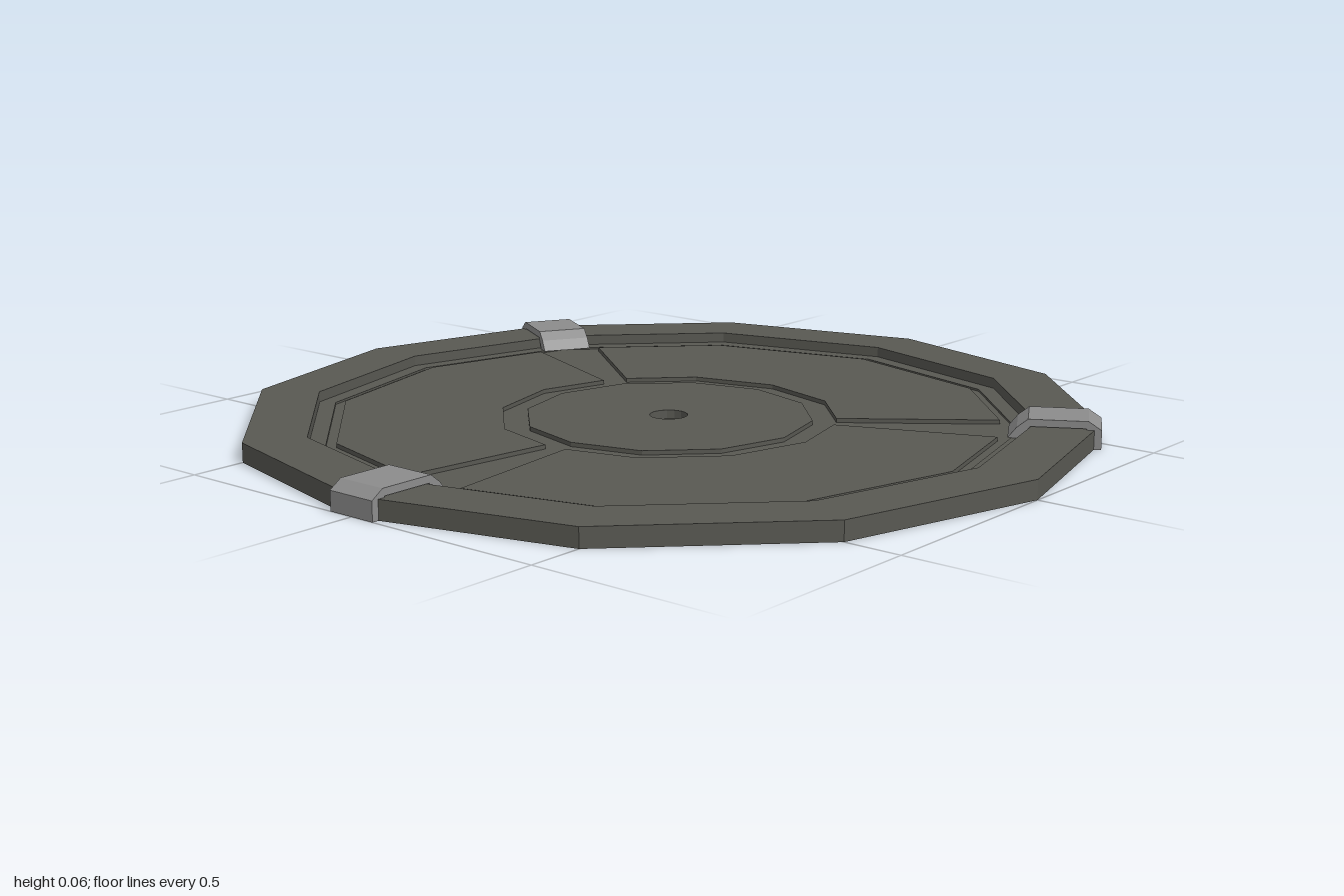
import * as THREE from 'three';

const discMat = new THREE.MeshStandardMaterial({ color: 0x585852, side: THREE.DoubleSide, flatShading: true });
discMat.name = 'darkPlate';
const clipMat = new THREE.MeshStandardMaterial({ color: 0x8c8c8c, flatShading: true });
clipMat.name = 'greyClip';

// Heights of the pressed levels
const RIM = 0.045, LEDGE = 0.02, CHANNEL = 0.015, PANEL = 0.025, CUP = 0.004;

const polar = (r, a) => new THREE.Vector2(r * Math.cos(a), r * Math.sin(a));
const ngon = (r, n = 12) => Array.from({ length: n }, (_, i) => polar(r, (i / n) * Math.PI * 2));

// Flat plate at height y, with optional holes
function plate(name, outline, holes, y) {
  const shape = new THREE.Shape(outline);
  holes.forEach((h) => shape.holes.push(new THREE.Path(h)));
  const geo = new THREE.ShapeGeometry(shape);
  geo.rotateX(-Math.PI / 2).translate(0, y, 0);
  const mesh = new THREE.Mesh(geo, discMat);
  mesh.name = name;
  return mesh;
}

// Upright wall following a closed outline
function wall(name, outline, y0, y1) {
  const pos = [];
  outline.forEach((a, i) => {
    const b = outline[(i + 1) % outline.length];
    pos.push(a.x, y0, -a.y, b.x, y0, -b.y, b.x, y1, -b.y);
    pos.push(a.x, y0, -a.y, b.x, y1, -b.y, a.x, y1, -a.y);
  });
  const geo = new THREE.BufferGeometry();
  geo.setAttribute('position', new THREE.Float32BufferAttribute(pos, 3));
  geo.computeVertexNormals();
  const mesh = new THREE.Mesh(geo, discMat);
  mesh.name = name;
  return mesh;
}

// Sector panel between two spokes, starting at spoke angle s
function panelOutline(s) {
  const step = Math.PI / 6, end = s + 4 * step;
  const edge = (r, half, a, side) =>
    new THREE.Vector2(r - half * Math.tan(step / 2), side * half).rotateAround(new THREE.Vector2(), a);
  const mids = [1, 2, 3].map((k) => s + k * step);
  return [
    edge(0.79, 0.08, s, 1), ...mids.map((a) => polar(0.79, a)), edge(0.79, 0.08, end, -1),
    edge(0.4, 0.03, end, -1), ...mids.reverse().map((a) => polar(0.4, a)), edge(0.4, 0.03, s, 1),
  ];
}

// Rim clip: bent bracket profile (radius, height) extruded across its width
function makeClip(angle) {
  const profile = [
    [1, 0], [1, RIM], [0.97, 0.065], [0.835, 0.065], [0.81, RIM], [0.79, LEDGE],
    [0.825, LEDGE], [0.84, 0.048], [0.965, 0.048], [0.965, 0],
  ].map(([r, y]) => new THREE.Vector2(r, y));
  const geo = new THREE.ExtrudeGeometry(new THREE.Shape(profile), { depth: 0.125, bevelEnabled: false });
  geo.translate(0, 0, -0.0625);
  const clip = new THREE.Mesh(geo, clipMat);
  clip.name = 'rimClip';
  clip.rotation.y = angle;
  return clip;
}

export function createModel() {
  const group = new THREE.Group();
  group.name = 'clippedDisc';
  const spokes = [1, 3, 5].map((k) => (k * Math.PI) / 3);
  const panels = spokes.map(panelOutline);
  const hub = ngon(0.34), cup = ngon(0.045, 16);

  // Rim and ledge
  group.add(
    wall('rimSkirt', ngon(1), 0, RIM),
    plate('rimTop', ngon(1), [ngon(0.855)], RIM),
    wall('rimInnerWall', ngon(0.855), LEDGE, RIM),
    plate('ledge', ngon(0.855), [ngon(0.815)], LEDGE),
    wall('ledgeWall', ngon(0.815), CHANNEL, LEDGE),
  );

  // Sunken channel with raised panels and hub
  group.add(plate('channelFloor', ngon(0.815), [...panels, hub], CHANNEL));
  panels.forEach((p) => {
    group.add(plate('panelTop', p, [], PANEL), wall('panelWall', p, CHANNEL, PANEL));
  });
  group.add(
    plate('hubTop', hub, [cup], PANEL),
    wall('hubWall', hub, CHANNEL, PANEL),
    wall('centreCupWall', cup, CUP, PANEL),
    plate('centreCupFloor', cup, [], CUP),
  );

  // Three clips over the rim
  spokes.forEach((a) => group.add(makeClip(a)));
  return group;
}
